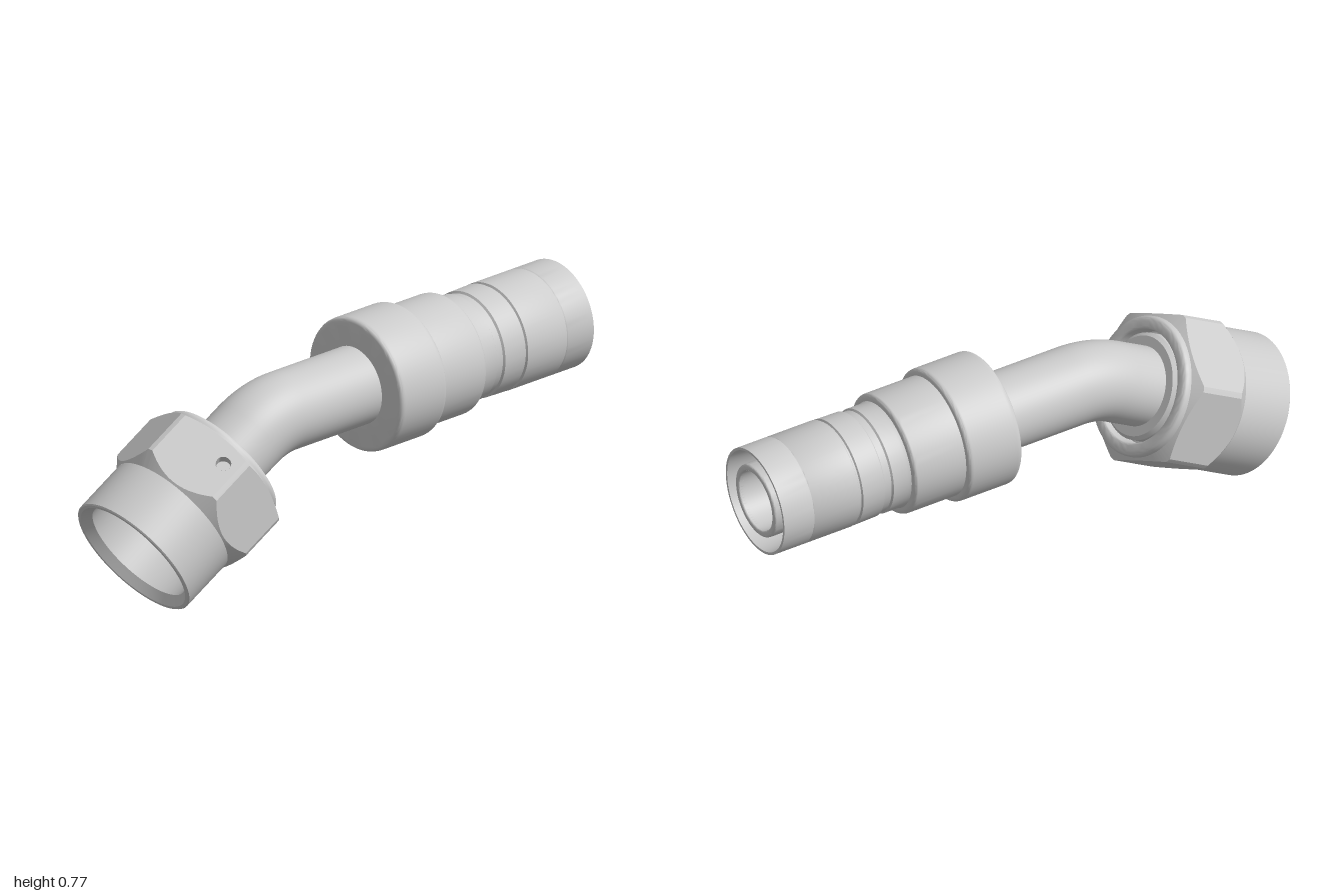
import * as THREE from 'three';
import { toCreasedNormals } from 'three/addons/utils/BufferGeometryUtils.js';

const material = new THREE.MeshStandardMaterial({ color: 0xcccccc, side: THREE.DoubleSide });
const DEG = Math.PI / 180;

function part(name, geometry) {
  const mesh = new THREE.Mesh(geometry, material);
  mesh.name = name;
  return mesh;
}

// Turned part: points are [radius, height, optional fillet size]
function turned(name, pts, segments = 72) {
  const out = [];
  pts.forEach(([r, y, f], i) => {
    const p = new THREE.Vector2(r, y);
    if (!f) return out.push(p);
    const toward = (q) => new THREE.Vector2(q[0], q[1]).sub(p).setLength(f).add(p);
    const bend = new THREE.QuadraticBezierCurve(toward(pts[i - 1]), p, toward(pts[i + 1]));
    out.push(...bend.getPoints(5));
  });
  return part(name, toCreasedNormals(new THREE.LatheGeometry(out, segments), 0.6));
}

// Axis shared by pipe and bore: straight, 30 degree bend, straight
const AXIS_Y = 0.545, CORNER_X = -0.30, CORNER_T = 0.67, BEND_R = 0.32;
const TANGENT = BEND_R * Math.tan(15 * DEG);

class BentAxis extends THREE.Curve {
  constructor(xStart, tEnd) {
    super();
    this.a = xStart - (CORNER_X + TANGENT);
    this.b = BEND_R * 30 * DEG;
    this.c = CORNER_T - TANGENT - tEnd;
    this.xStart = xStart;
  }
  getPoint(u, target = new THREE.Vector3()) {
    const s = u * (this.a + this.b + this.c);
    if (s < this.a) return target.set(this.xStart - s, AXIS_Y, 0);
    const angle = 90 * DEG + Math.min((s - this.a) / BEND_R, 30 * DEG);
    const rest = Math.max(0, s - this.a - this.b);
    return target.set(
      CORNER_X + TANGENT + BEND_R * Math.cos(angle) - rest * Math.cos(30 * DEG),
      AXIS_Y - BEND_R + BEND_R * Math.sin(angle) - rest * 0.5, 0);
  }
}

// Hexagon: flats at FLAT, corners trimmed, both ends chamfered
const FLAT = 0.245, TRIM = 28;
const hexRadius = (deg) => {
  const phi = ((deg + 390) % 60) - 30;
  return FLAT / Math.cos(Math.min(Math.abs(phi), TRIM) * DEG);
};
const lowEdge = (r) => 0.2 + (r - 0.24) * 1.32;
const highEdge = (r) => 0.435 - (r - FLAT) * 0.5;

// Band between two rings, each given as angle -> [radius, height]
function band(name, low, high, from, to, steps) {
  const pos = [], index = [];
  for (let i = 0; i <= steps; i++) {
    const deg = from + (to - from) * i / steps;
    for (const [r, y] of [low(deg), high(deg)])
      pos.push(r * Math.sin(deg * DEG), y, r * Math.cos(deg * DEG));
    if (i < steps) {
      const k = 2 * i;
      index.push(k, k + 2, k + 1, k + 2, k + 3, k + 1);
    }
  }
  const g = new THREE.BufferGeometry();
  g.setAttribute('position', new THREE.Float32BufferAttribute(pos, 3));
  g.setIndex(index);
  g.computeVertexNormals();
  return part(name, toCreasedNormals(g, 0.5));
}

function createNut() {
  const nut = new THREE.Group();
  nut.name = 'swivelNut';

  // Round skirt with its bore, and the rear collar
  nut.add(turned('nutSkirt', [[0.13, 0.33], [0.2, 0.33], [0.2, 0.03], [0.221, 0.005],
    [0.225, 0], [0.236, 0], [0.24, 0.004], [0.24, 0.2]]));
  nut.add(turned('nutCollar', [[0.236, 0.42], [0.236, 0.465, 0.02], [0.19, 0.465, 0.01],
    [0.19, 0.4], [0.13, 0.4]]));

  // Chamfers at both ends of the hexagon
  const low = (d) => [hexRadius(d), lowEdge(hexRadius(d))];
  const high = (d) => [hexRadius(d), highEdge(hexRadius(d))];
  nut.add(band('frontChamfer', () => [0.24, 0.2], low, 0, 360, 360));
  nut.add(band('rearChamfer', high, () => [0.235, 0.44], 0, 360, 360));

  // Six flats and trimmed corners; one flat carries a blind hole
  for (let k = 0; k < 6; k++) {
    const angle = 60 * k - 60;
    const outline = [];
    const point = (phi, edge) => outline.push(
      new THREE.Vector2(FLAT * Math.tan(phi * DEG), edge(hexRadius(phi))));
    for (let phi = -TRIM; phi <= TRIM; phi += 2) point(phi, lowEdge);
    for (let phi = TRIM; phi >= -TRIM; phi -= 2) point(phi, highEdge);
    const shape = new THREE.Shape(outline);
    const side = new THREE.Group();
    side.name = 'nutSide';
    side.rotation.y = angle * DEG;
    if (k === 0) {
      const u = 0.08, t = 0.364, r = 0.026;
      shape.holes.push(new THREE.Path().absarc(u, t, r, 0, Math.PI * 2, true));
      const hole = turned('blindHole', [[0, -0.035], [r, -0.035], [r, 0]], 24);
      hole.rotation.x = Math.PI / 2;
      hole.position.set(u, t, FLAT);
      side.add(hole);
    }
    const flat = part('nutFlat', new THREE.ShapeGeometry(shape, 24));
    flat.position.z = FLAT;
    side.add(flat, band('nutCorner', low, high, TRIM, 60 - TRIM, 4));
    nut.add(side);
  }

  // Sealing nipple held inside the nut
  nut.add(turned('nipple', [[0.105, 0.2], [0.14, 0.2], [0.185, 0.3], [0.18, 0.34],
    [0.18, 0.45], [0.168, 0.462], [0.13, 0.462]]));

  nut.position.set(-0.88, 0.21, 0);
  nut.rotation.z = -60 * DEG;
  return nut;
}

export function createModel() {
  const model = new THREE.Group();
  model.name = 'angledHoseFitting';

  // Bent pipe and its through bore
  model.add(part('bentPipe', new THREE.TubeGeometry(new BentAxis(0.12, 0.3), 80, 0.135, 64)));
  model.add(part('bore', new THREE.TubeGeometry(new BentAxis(0.995, 0.2), 120, 0.105, 64)));

  // Crimp sleeve: stepped collars, grooved shell, hose gap and inner tail
  const sleeve = turned('crimpSleeve', [
    [0.13, 0.105], [0.232, 0.105, 0.02], [0.232, 0.312, 0.018], [0.21, 0.312],
    [0.21, 0.508, 0.018], [0.186, 0.508], [0.183, 0.52],
    [0.183, 0.575], [0.177, 0.58], [0.177, 0.605], [0.184, 0.61],
    [0.186, 0.694], [0.18, 0.698], [0.18, 0.704], [0.187, 0.708],
    [0.187, 0.88], [0.185, 0.883], [0.187, 0.886], [0.187, 1],
    [0.178, 1], [0.165, 0.88], [0.165, 0.4], [0.128, 0.4],
    [0.128, 1, 0.01], [0.105, 1, 0.008], [0.105, 0.98],
  ]);
  sleeve.rotation.z = -Math.PI / 2;
  sleeve.position.y = AXIS_Y;
  model.add(sleeve);

  model.add(createNut());
  return model;
}
